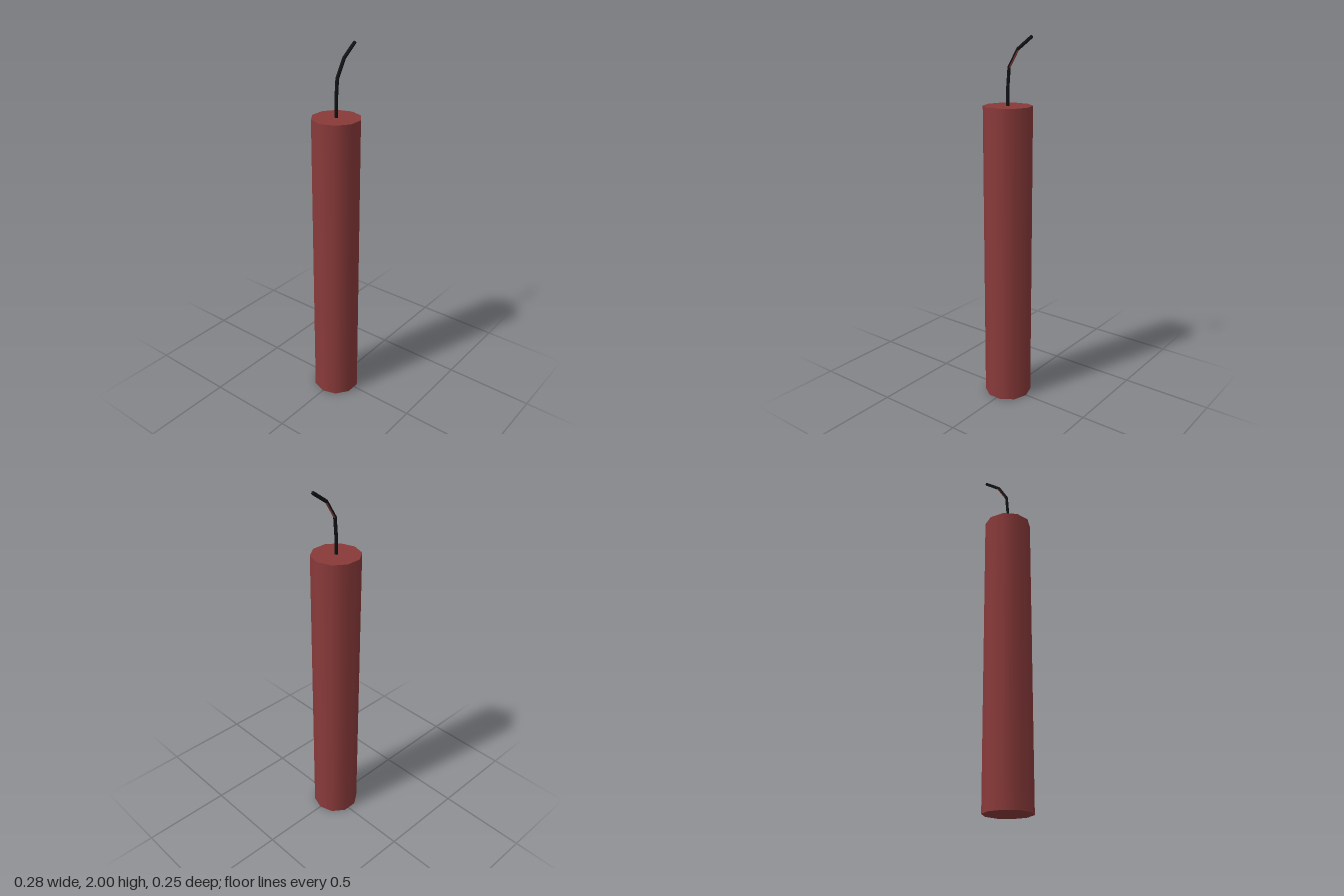
import * as THREE from 'three';

const AXIS_X = -0.012;
const BODY_RADIUS = 0.13;
const BODY_HEIGHT = 1.645;
const FUSE_RADIUS = 0.0092;

// Centre line of the fuse, from the body up to the tip
const FUSE_PATH = [
  [AXIS_X, 1.64], [AXIS_X, 1.74], [-0.004, 1.84], [0.05, 1.93], [0.136, 1.993],
].map(([x, y]) => new THREE.Vector2(x, y));

// Six-sided cylinder whose rings are moved onto the path and turned across it
function bentFuse(path, radius) {
  const last = path.length - 1;
  const geometry = new THREE.CylinderGeometry(radius, radius, last, 6, last, false, Math.PI / 2);
  const pos = geometry.attributes.position;
  for (let i = 0; i < pos.count; i++) {
    const ring = Math.round(pos.getY(i) + last / 2);
    const p = path[ring];
    const into = p.clone().sub(path[Math.max(ring - 1, 0)]).normalize();
    const out = path[Math.min(ring + 1, last)].clone().sub(p).normalize();
    const t = into.add(out).normalize();
    const side = pos.getX(i);
    pos.setXYZ(i, p.x + t.y * side, p.y - t.x * side, pos.getZ(i));
  }
  geometry.computeVertexNormals();

  // The two outer faces of the third section are red
  geometry.clearGroups();
  const end = geometry.index.count;
  [[0, 6, 0], [6, 12, 1], [12, 126, 0], [126, 132, 1], [132, end, 0]]
    .forEach(([from, to, material]) => geometry.addGroup(from, to - from, material));
  return geometry;
}

export function createModel() {
  const red = new THREE.MeshStandardMaterial({ color: 0x8a3a3a });
  red.name = 'dull red';
  const black = new THREE.MeshStandardMaterial({ color: 0x111315 });
  black.name = 'black';

  const model = new THREE.Group();
  model.name = 'fireworkStick';

  // Ten-sided stick with a corner on the x axis
  const body = new THREE.Mesh(
    new THREE.CylinderGeometry(BODY_RADIUS, BODY_RADIUS, BODY_HEIGHT, 10, 1, false, Math.PI / 2), red);
  body.name = 'body';
  body.position.set(AXIS_X, BODY_HEIGHT / 2, 0);
  model.add(body);

  const fuse = new THREE.Mesh(bentFuse(FUSE_PATH, FUSE_RADIUS), [black, red]);
  fuse.name = 'fuse';
  model.add(fuse);

  return model;
}
